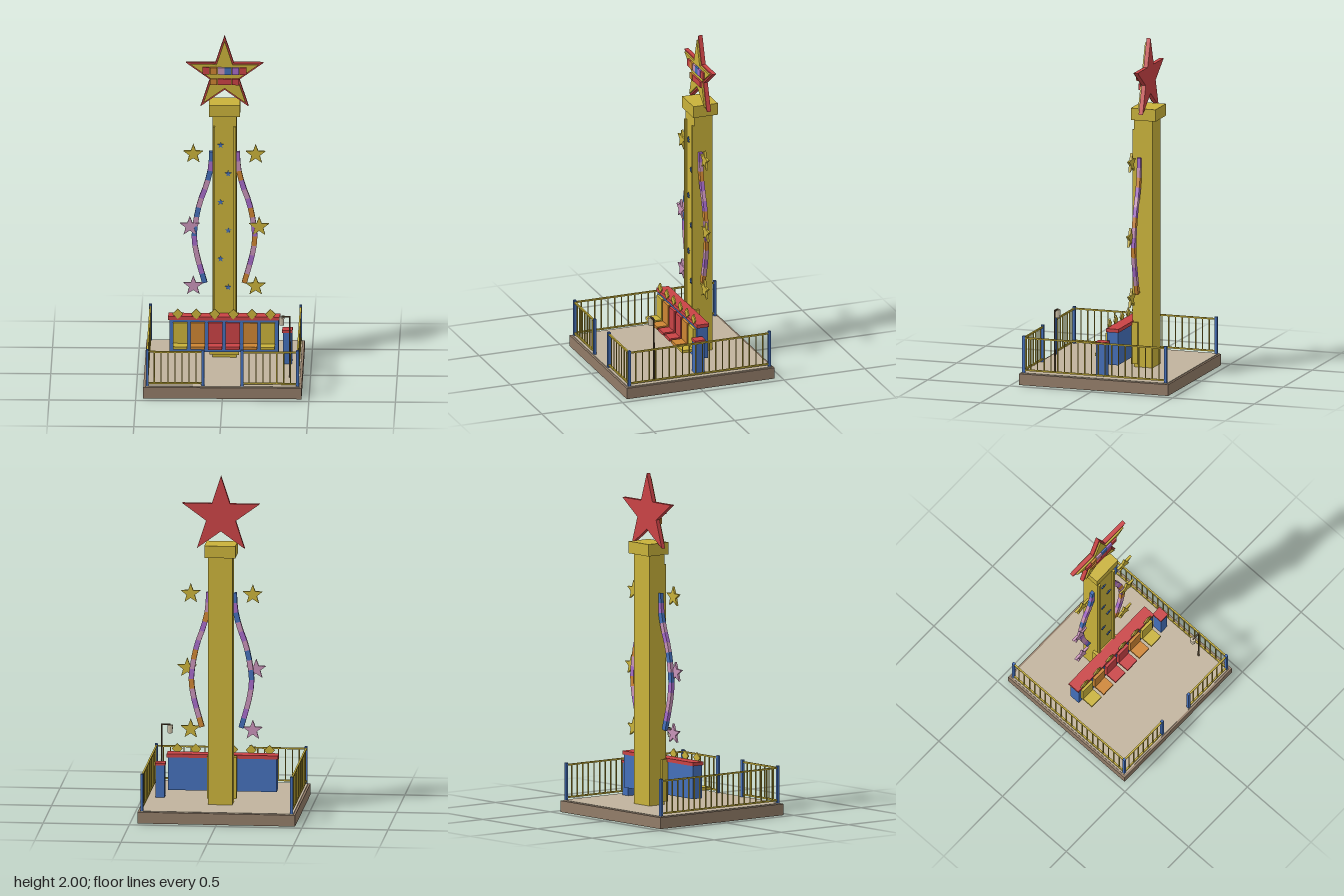
import * as THREE from 'three';

const mat = (name, color) => {
  const m = new THREE.MeshStandardMaterial({ color });
  m.name = name;
  return m;
};

export function createModel() {
  const root = new THREE.Group();
  root.name = 'starTowerRide';
  const C = {
    yellow: mat('gold yellow', 0xc9b23a), red: mat('red', 0xc94345), blue: mat('blue', 0x446fba),
    orange: mat('orange', 0xcd8533), pink: mat('pink', 0xc893b9), purple: mat('purple', 0xa66bca),
    tan: mat('floor tan', 0xc1b39d), brown: mat('base brown', 0x927c68),
    dark: mat('dark metal', 0x54452f), cream: mat('lamp cream', 0xd0c4ac),
  };
  const add = (name, geo, m, x = 0, y = 0, z = 0, parent = root) => {
    const mesh = new THREE.Mesh(geo, m);
    mesh.name = name;
    mesh.position.set(x, y, z);
    parent.add(mesh);
    return mesh;
  };
  // box given by its min and max on each axis
  const box = (name, m, x0, x1, y0, y1, z0, z1, parent) =>
    add(name, new THREE.BoxGeometry(x1 - x0, y1 - y0, z1 - z0), m,
      (x0 + x1) / 2, (y0 + y1) / 2, (z0 + z1) / 2, parent);
  const group = (name) => {
    const g = new THREE.Group();
    g.name = name;
    root.add(g);
    return g;
  };
  const extrude = (pts, depth) =>
    new THREE.ExtrudeGeometry(new THREE.Shape(pts), { depth, bevelEnabled: false });
  const star = (R, r, depth) => {
    const pts = [];
    for (let i = 0; i < 10; i++) {
      const a = Math.PI / 2 + (i * Math.PI) / 5, q = i % 2 ? r : R;
      pts.push(new THREE.Vector2(q * Math.cos(a), q * Math.sin(a)));
    }
    return extrude(pts, depth);
  };

  // platform
  box('platformBase', C.brown, -0.457, 0.457, 0, 0.066, -0.457, 0.457);
  box('platformFloor', C.tan, -0.445, 0.445, 0.06, 0.071, -0.445, 0.445);

  // tower with front rails and cap
  box('towerColumn', C.yellow, -0.07, 0.07, 0.07, 1.535, -0.224, -0.112);
  box('towerCap', C.yellow, -0.09, 0.09, 1.53, 1.6, -0.249, -0.098);
  box('towerFoot', C.yellow, -0.085, 0.085, 0.09, 0.335, -0.138, -0.098);
  for (const s of [-1, 1])
    box('towerRail', C.yellow, s * 0.06 - 0.007, s * 0.06 + 0.007, 0.09, 1.47, -0.113, -0.1);
  for (let i = 0; i < 6; i++)
    add('towerBlueStar', star(0.019, 0.008, 0.006), C.blue, i % 2 ? 0.022 : -0.022, 1.355 - i * 0.172, -0.113);

  // top sign: red star, yellow face and coloured blocks
  const sign = group('topStar');
  add('starBack', star(0.235, 0.09, 0.025), C.red, 0, 1.765, -0.188, sign);
  add('starFace', star(0.207, 0.079, 0.01), C.yellow, 0, 1.765, -0.163, sign);
  const blockRow = (colors, y, h) => colors.forEach((k, i) => {
    const x = (i - (colors.length - 1) / 2) * 0.0425;
    box('signBlock', C[k], x - 0.02, x + 0.02, y - h / 2, y + h / 2, -0.155, -0.142, sign);
  });
  blockRow(['red', 'orange', 'pink', 'blue', 'purple', 'red'], 1.793, 0.042);
  blockRow(['orange', 'red', 'red', 'red'], 1.727, 0.036);

  // curving ribbons made of coloured segments
  const curve = new THREE.CatmullRomCurve3([
    [0.074, 1.307], [0.08, 1.206], [0.106, 1.1], [0.143, 0.995], [0.169, 0.862],
    [0.175, 0.783], [0.159, 0.677], [0.138, 0.598], [0.114, 0.513],
  ].map(([x, y]) => new THREE.Vector3(x, y, 0)));
  const ribbons = {
    1: ['purple', 'pink', 'orange', 'purple', 'pink', 'purple', 'orange',
      'pink', 'purple', 'orange', 'pink', 'purple', 'pink', 'orange'],
    '-1': ['blue', 'purple', 'blue', 'pink', 'purple', 'pink', 'blue',
      'pink', 'blue', 'purple', 'pink', 'pink', 'purple', 'blue'],
  };
  for (const s of [1, -1]) {
    const list = ribbons[s], g = group(s > 0 ? 'leftRibbon' : 'rightRibbon');
    const edge = (u, o) => {
      const p = curve.getPointAt(u), t = curve.getTangentAt(u);
      return new THREE.Vector2(s * (p.x - t.y * o), p.y + t.x * o);
    };
    list.forEach((k, i) => {
      const a = i / list.length, b = (i + 1) / list.length, w = 0.015;
      add('ribbonSegment', extrude([edge(a, w), edge(b, w), edge(b, -w), edge(a, -w)], 0.022),
        C[k], 0, 0, -0.157, g);
    });
  }

  // stars beside the tower
  [[0.18, 1.295, 'yellow'], [0.2, 0.857, 'pink'], [0.18, 0.497, 'pink']].forEach(([x, y, k]) => {
    add('sideStar', star(0.06, 0.025, 0.014), C.yellow, x, y, -0.141);
    add('sideStar', star(0.06, 0.025, 0.014), C[k], -x, y, -0.141);
  });

  // ride carriage with six seats
  box('carriageBody', C.blue, -0.315, 0.315, 0.127, 0.322, -0.1, -0.033);
  box('carriageRoof', C.red, -0.323, 0.323, 0.32, 0.341, -0.105, -0.03);
  ['yellow', 'orange', 'red', 'red', 'orange', 'yellow'].forEach((k, i) => {
    const x = (i - 2.5) * 0.101;
    const g = group('seat');
    box('seatBack', C[k], x - 0.042, x + 0.042, 0.17, 0.308, -0.035, -0.017, g);
    box('seatCushion', C[k], x - 0.041, x + 0.041, 0.167, 0.184, -0.03, 0.05, g);
    const d = add('roofDiamond', new THREE.BoxGeometry(0.044, 0.044, 0.008), C.yellow,
      (i - 2.5) * 0.107, 0.358, -0.031);
    d.rotation.z = Math.PI / 4;
  });

  // control box
  box('controlBox', C.blue, 0.34, 0.393, 0.07, 0.262, -0.05, 0.008);
  box('controlLid', C.red, 0.336, 0.396, 0.26, 0.274, -0.055, 0.011);

  // fence: two sides and a front with an entrance gap
  const fence = group('fence');
  const post = (x, z) => box('fencePost', C.blue, x - 0.008, x + 0.008, 0.07, 0.288, z - 0.008, z + 0.008, fence);
  const panel = (x0, z0, x1, z1, bars) => {
    const dx = x1 - x0, dz = z1 - z0;
    for (const y of [0.086, 0.275])
      add('fenceRail', new THREE.BoxGeometry(dx || 0.01, 0.009, dz || 0.01), C.yellow,
        (x0 + x1) / 2, y, (z0 + z1) / 2, fence);
    const bar = new THREE.BoxGeometry(0.006, 0.19, 0.006);
    for (let i = 1; i <= bars; i++) {
      const t = i / (bars + 1);
      add('fenceBar', bar, C.yellow, x0 + dx * t, 0.18, z0 + dz * t, fence);
    }
  };
  for (const s of [-1, 1]) {
    post(s * 0.434, -0.434);
    post(s * 0.434, 0.434);
    post(s * 0.113, 0.434);
    panel(s * 0.434, -0.434, s * 0.434, 0.434, 20);
  }
  panel(-0.434, 0.434, -0.113, 0.434, 7);
  panel(0.113, 0.434, 0.434, 0.434, 7);

  // lamp
  const lamp = group('lamp');
  add('lampPole', new THREE.CylinderGeometry(0.005, 0.006, 0.37, 6), C.dark, 0.386, 0.255, 0.262, lamp);
  box('lampArm', C.dark, 0.336, 0.39, 0.434, 0.442, 0.258, 0.266, lamp);
  add('lampHead', new THREE.CylinderGeometry(0.018, 0.015, 0.042, 6), C.cream, 0.338, 0.409, 0.262, lamp);
  add('lampTop', new THREE.CylinderGeometry(0.017, 0.018, 0.006, 6), C.cream, 0.338, 0.432, 0.262, lamp);
  return root;
}
